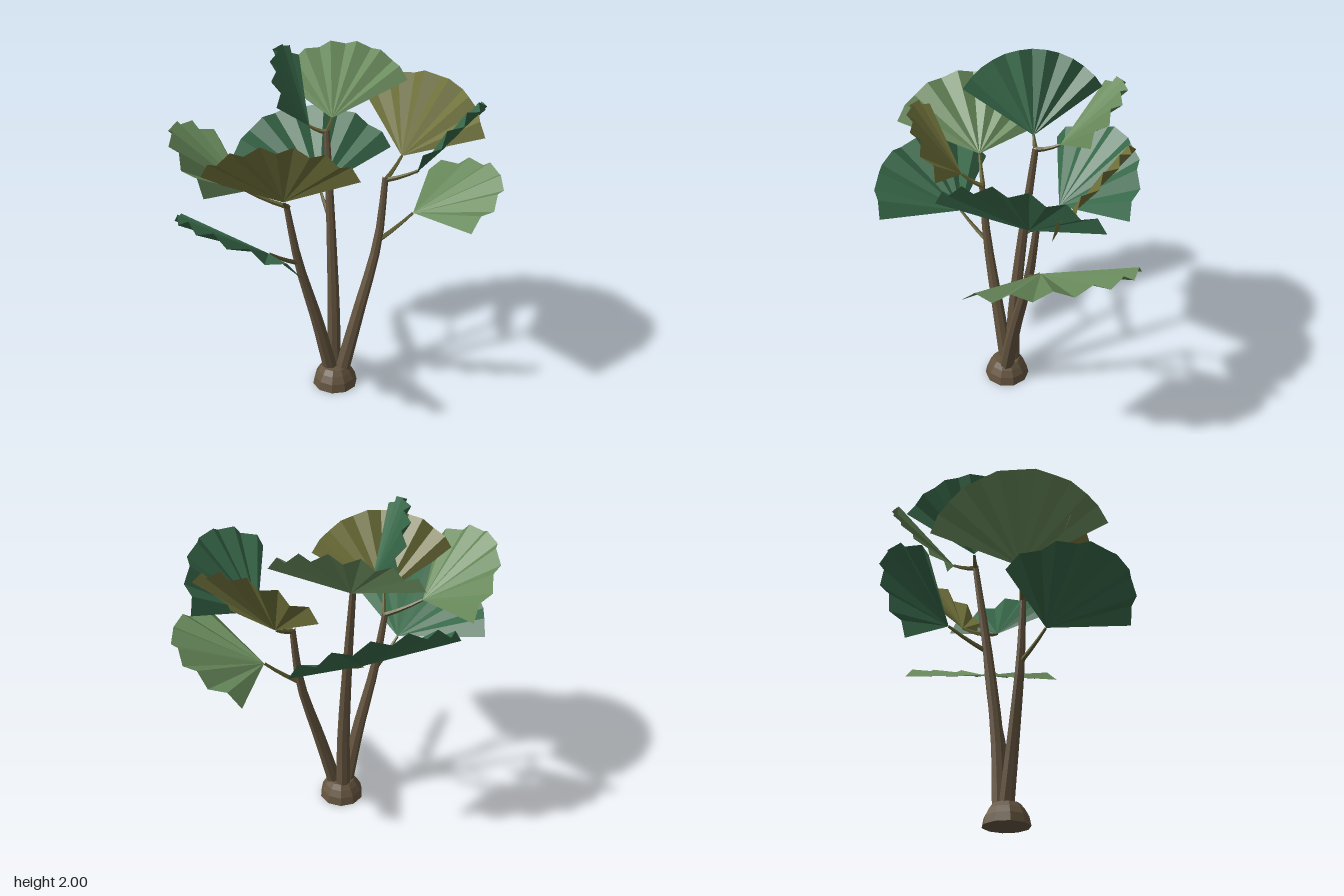
import * as THREE from 'three';

const mat = (name, color, side = THREE.FrontSide) => {
  const m = new THREE.MeshStandardMaterial({ color, flatShading: true, side });
  m.name = name;
  return m;
};
const V = (p) => new THREE.Vector3(...p);

// Tapered stem that follows a smooth path
function taperedTube(points, r0, r1, sides, steps) {
  const curve = new THREE.CatmullRomCurve3(points.map(V));
  const geo = new THREE.TubeGeometry(curve, steps, 1, sides, false);
  const pos = geo.attributes.position;
  const v = new THREE.Vector3();
  for (let i = 0; i < pos.count; i++) {
    const t = Math.floor(i / (sides + 1)) / steps;
    const c = curve.getPointAt(t);
    v.fromBufferAttribute(pos, i).sub(c).multiplyScalar(r0 + (r1 - r0) * t).add(c);
    pos.setXYZ(i, v.x, v.y, v.z);
  }
  geo.computeVertexNormals();
  return geo;
}

// Pleated fan: rim points alternate above and below the leaf plane
function fanLeaf(mid, side, radius, halfAngle, pleats = 12, depth = 0.022) {
  const s = V(side).normalize();
  const m = V(mid);
  m.addScaledVector(s, -m.dot(s)).normalize();
  const n = new THREE.Vector3().crossVectors(s, m);
  if (n.y < 0) n.negate();
  const rim = [];
  for (let i = 0; i <= pleats; i++) {
    const a = THREE.MathUtils.degToRad(halfAngle) * (2 * i / pleats - 1);
    const r = radius * (0.98 + 0.03 * Math.cos(a));
    rim.push(new THREE.Vector3()
      .addScaledVector(m, r * Math.cos(a))
      .addScaledVector(s, r * Math.sin(a))
      .addScaledVector(n, i % 2 ? depth : -depth));
  }
  const verts = [];
  for (let i = 0; i < pleats; i++) {
    verts.push(0, 0, 0, ...rim[i].toArray(), ...rim[i + 1].toArray());
  }
  const geo = new THREE.BufferGeometry();
  geo.setAttribute('position', new THREE.Float32BufferAttribute(verts, 3));
  geo.computeVertexNormals();
  return geo;
}

export function createModel() {
  const group = new THREE.Group();
  const bark = mat('bark', 0x64543f);
  const stalkMat = mat('stalk', 0x5f5c30);
  const green = mat('deep green', 0x38694a, THREE.DoubleSide);
  const light = mat('light green', 0x688a5b, THREE.DoubleSide);
  const olive = mat('olive', 0x70723b, THREE.DoubleSide);
  const add = (name, geo, material, at = [0, 0, 0]) => {
    const mesh = new THREE.Mesh(geo, material);
    mesh.name = name;
    mesh.position.set(...at);
    group.add(mesh);
  };

  // Root bulb
  const bulb = [[0, 0], [0.132, 0], [0.122, 0.05], [0.1, 0.09], [0.077, 0.12], [0, 0.12]];
  add('rootBulb', new THREE.LatheGeometry(bulb.map(([x, y]) => new THREE.Vector2(x, y)), 10),
    bark, [-0.04, 0, 0.043]);

  // Three trunks
  const trunks = {
    rightTrunk: [[-0.06, 0.08, 0.03], [-0.15, 0.45, 0.03], [-0.26, 0.86, 0.02], [-0.32, 1.21, 0.01]],
    centreTrunk: [[-0.03, 0.08, 0.01], [-0.025, 0.45, 0], [-0.015, 0.95, -0.05], [0, 1.54, -0.13]],
    leftTrunk: [[-0.01, 0.08, 0.07], [0.09, 0.45, 0.08], [0.22, 0.9, 0.075], [0.27, 1.28, 0.06]],
  };
  for (const [name, path] of Object.entries(trunks)) {
    add(name, taperedTube(path, 0.045, 0.017, 8, 8), bark);
  }

  // Leaves: stalk start, leaf base, middle direction, side direction, radius, half angle
  const leaves = [
    ['lowRight', green, [-0.26, 0.85, 0.02], [-0.46, 0.98, 0.07], [-0.43, 0.27, 0.05], [-0.27, -0.02, -0.91], 0.53, 66],
    ['backRight', light, [-0.31, 1.2, 0.01], [-0.5, 1.29, -0.1], [-0.35, 0.35, -0.15], [-0.44, 0.06, 0.86], 0.52, 65],
    ['frontRight', olive, [-0.31, 1.2, 0.01], [-0.38, 1.28, 0.105], [-0.14, 0.41, 0.24], [0.67, 0, 0.395], 0.48, 59],
    ['topRight', green, [0, 1.53, -0.13], [-0.085, 1.565, -0.18], [-0.15, 0.43, -0.08], [0.36, 0, -0.54], 0.46, 56],
    ['topLeft', light, [0, 1.53, -0.13], [0.085, 1.565, -0.23], [0.2, 0.34, -0.25], [0.52, 0.05, 0.52], 0.475, 57],
    ['back', green, [-0.01, 1.0, -0.05], [0.03, 1.13, -0.28], [0.06, 0.38, -0.39], [0.93, -0.03, 0.24], 0.54, 63],
    ['frontLeft', green, [0.27, 1.26, 0.06], [0.395, 1.35, 0.21], [0.15, 0.38, 0.25], [0.72, 0, -0.51], 0.5, 62],
    ['backLeft', olive, [0.27, 1.26, 0.06], [0.42, 1.35, -0.015], [0.25, 0.41, -0.1], [0.32, -0.08, 0.8], 0.5, 58],
    ['lowLeft', light, [0.22, 0.9, 0.075], [0.41, 1.06, 0.14], [0.48, 0.22, 0.09], [0.325, -0.03, -0.92], 0.53, 66],
  ];
  for (const [name, material, start, base, mid, side, radius, half] of leaves) {
    const bend = start.map((v, i) => (v + base[i]) / 2 - (i === 1 ? 0.008 : 0));
    add(name + 'Stalk', taperedTube([start, bend, base], 0.015, 0.008, 5, 3), stalkMat);
    add(name + 'Leaf', fanLeaf(mid, side, radius, half), material, base);
  }
  return group;
}
